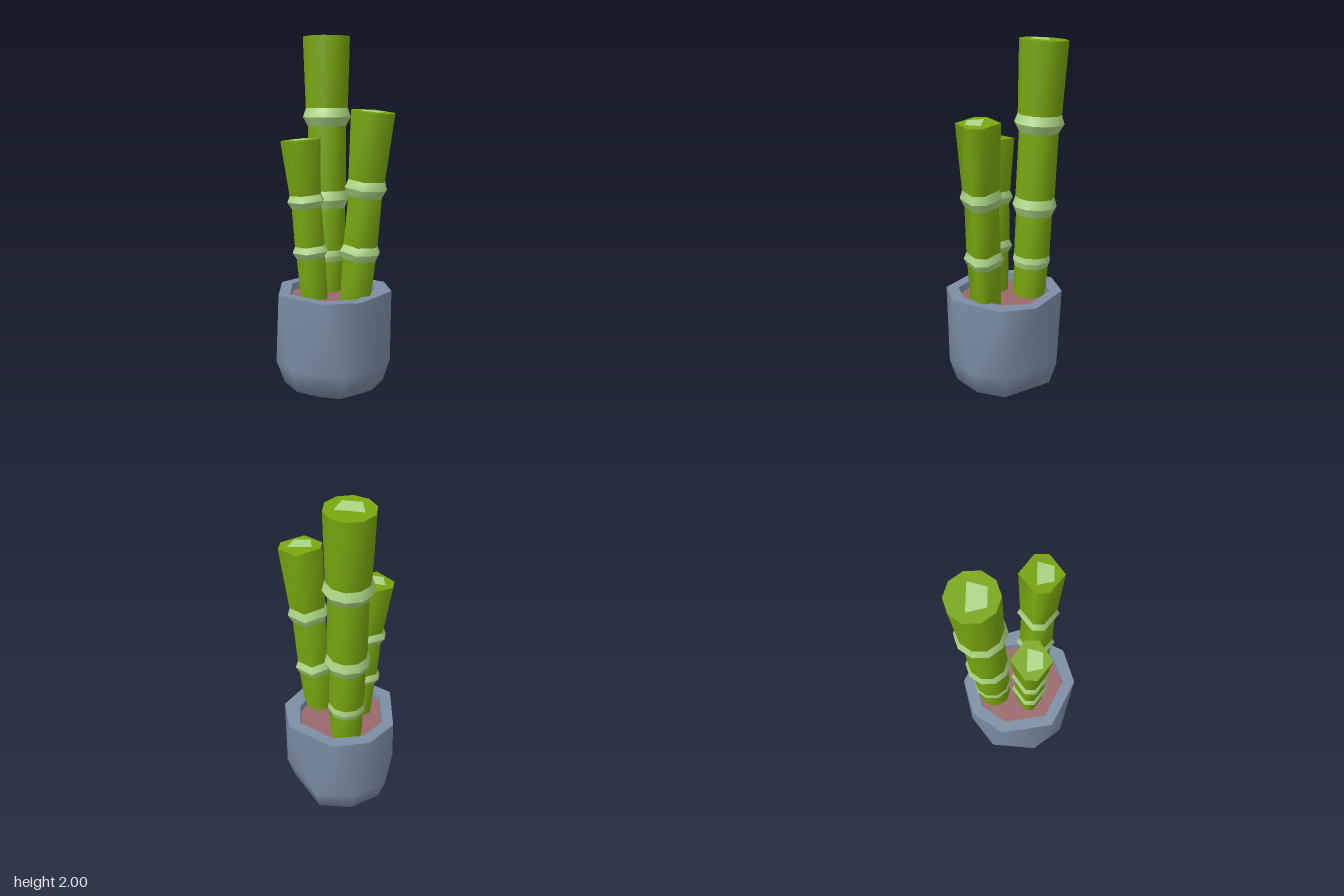
import * as THREE from 'three';

const material = (name, color) => {
  const m = new THREE.MeshStandardMaterial({ color });
  m.name = name;
  return m;
};

// Skin between rings of equal point count, listed bottom to top (points run from +x towards +z)
function loft(rings) {
  const n = rings[0].length, pos = rings.flat(2), index = [];
  for (let i = 0; i < rings.length - 1; i++) {
    for (let j = 0; j < n; j++) {
      const k = (j + 1) % n;
      const a = i * n + j, b = i * n + k, c = a + n, d = b + n;
      index.push(a, c, b, b, c, d);
    }
  }
  return finish(pos, index);
}

// Flat upward-facing polygon
function cap(ring) {
  const index = [];
  for (let j = 1; j < ring.length - 1; j++) index.push(0, j + 1, j);
  return finish(ring.flat(), index);
}

function finish(pos, index) {
  const g = new THREE.BufferGeometry();
  g.setAttribute('position', new THREE.Float32BufferAttribute(pos, 3));
  g.setIndex(index);
  g.computeVertexNormals();
  return g;
}

function add(parent, name, geometry, mat) {
  const mesh = new THREE.Mesh(geometry, mat);
  mesh.name = name;
  parent.add(mesh);
}

export function createModel() {
  const model = new THREE.Group();
  model.name = 'pottedBamboo';
  const slate = material('slate pot', 0x7c8da4);
  const green = material('stalk green', 0x78a60f);
  const pale = material('pale green', 0xabd583);
  const earth = material('red brown soil', 0x9a686b);

  // Pot outlines as x, z pairs
  const rim = [[0.31, -0.02], [0.195, 0.257], [0, 0.333], [-0.275, 0.215],
    [-0.34, -0.075], [-0.235, -0.25], [-0.04, -0.325], [0.235, -0.21]];
  const belly = [[0.3, -0.05], [0.26, 0.14], [0.1, 0.3], [-0.19, 0.275],
    [-0.32, 0.12], [-0.315, -0.14], [-0.15, -0.285], [0.06, -0.31]];
  const inner = [[0.215, -0.025], [0.155, 0.195], [0, 0.264], [-0.22, 0.172],
    [-0.272, -0.06], [-0.19, -0.2], [-0.03, -0.255], [0.18, -0.165]];
  const level = (pts, y, s = 1) => pts.map(([x, z]) => [x * s, y, z * s]);

  const pot = new THREE.Group();
  pot.name = 'pot';
  model.add(pot);
  add(pot, 'potWall', loft([
    level(belly, 0, 0.001), level(belly, 0, 0.45), level(belly, 0.065, 0.87),
    level(belly, 0.19), level(rim, 0.6),
  ]), slate);
  add(pot, 'potRim', loft([level(rim, 0.6), level(inner, 0.6)]), slate);
  add(pot, 'potInnerWall', loft([level(inner, 0.6), level(inner, 0.555, 0.98)]), slate);
  add(pot, 'soil', cap(level(inner, 0.56, 0.985)), earth);

  // A leaning stalk; each node is [y, r below, r bulge, r above, half height]
  function stalk(name, base, top, angles, baseRadius, topRadius, nodes) {
    const group = new THREE.Group();
    group.name = name;
    const from = new THREE.Vector3(...base);
    const axis = new THREE.Vector3(...top).sub(from);
    const length = axis.length(), stretch = length / axis.y;
    group.position.copy(from);
    group.quaternion.setFromUnitVectors(new THREE.Vector3(0, 1, 0), axis.normalize());
    const ring = (h, r) => angles.map((deg) => {
      const t = THREE.MathUtils.degToRad(deg);
      return [r * Math.cos(t), h, r * Math.sin(t)];
    });

    let h = 0, r = baseRadius;
    for (const [y, below, bulge, above, half] of nodes) {
      const mid = (y - base[1]) * stretch;
      add(group, 'stalkSegment', loft([ring(h, r), ring(mid - half, below)]), green);
      add(group, 'nodeLower', loft([ring(mid - half, below), ring(mid, bulge)]), pale);
      add(group, 'nodeUpper', loft([ring(mid, bulge), ring(mid + half, above)]), pale);
      h = mid + half;
      r = above;
    }
    add(group, 'stalkSegment', loft([ring(h, r), ring(length, topRadius)]), green);
    add(group, 'stalkTop', cap(ring(length, topRadius)), green);

    // Pale pith on the cut end
    const pith = [[0.55, -0.23], [0.39, 0.5], [-0.36, 0.54], [-0.58, -0.18]];
    add(group, 'pith', cap(level(pith.map(([x, z]) => [x * topRadius, z * topRadius]),
      length + 0.003)), pale);
    model.add(group);
  }

  const tenSides = Array.from({ length: 10 }, (_, i) => 266 - 360 + i * 36);
  const sixSides = [-94, -22, 16, 88, 160, 194];

  stalk('tallStalk', [-0.08, 0.54, -0.135], [-0.102, 1.993, -0.199], tenSides, 0.088, 0.133, [
    [0.765, 0.096, 0.106, 0.1, 0.033],
    [1.085, 0.101, 0.124, 0.109, 0.05],
    [1.548, 0.109, 0.137, 0.12, 0.05],
  ]);
  stalk('leftStalk', [0.124, 0.54, 0.083], [0.222, 1.598, 0.102], sixSides, 0.084, 0.119, [
    [0.838, 0.092, 0.111, 0.094, 0.04],
    [1.188, 0.092, 0.115, 0.1, 0.046],
  ]);
  stalk('rightStalk', [-0.108, 0.54, 0.068], [-0.182, 1.44, 0.078], sixSides, 0.074, 0.109, [
    [0.823, 0.079, 0.099, 0.083, 0.034],
    [1.105, 0.081, 0.102, 0.086, 0.036],
  ]);

  return model;
}
